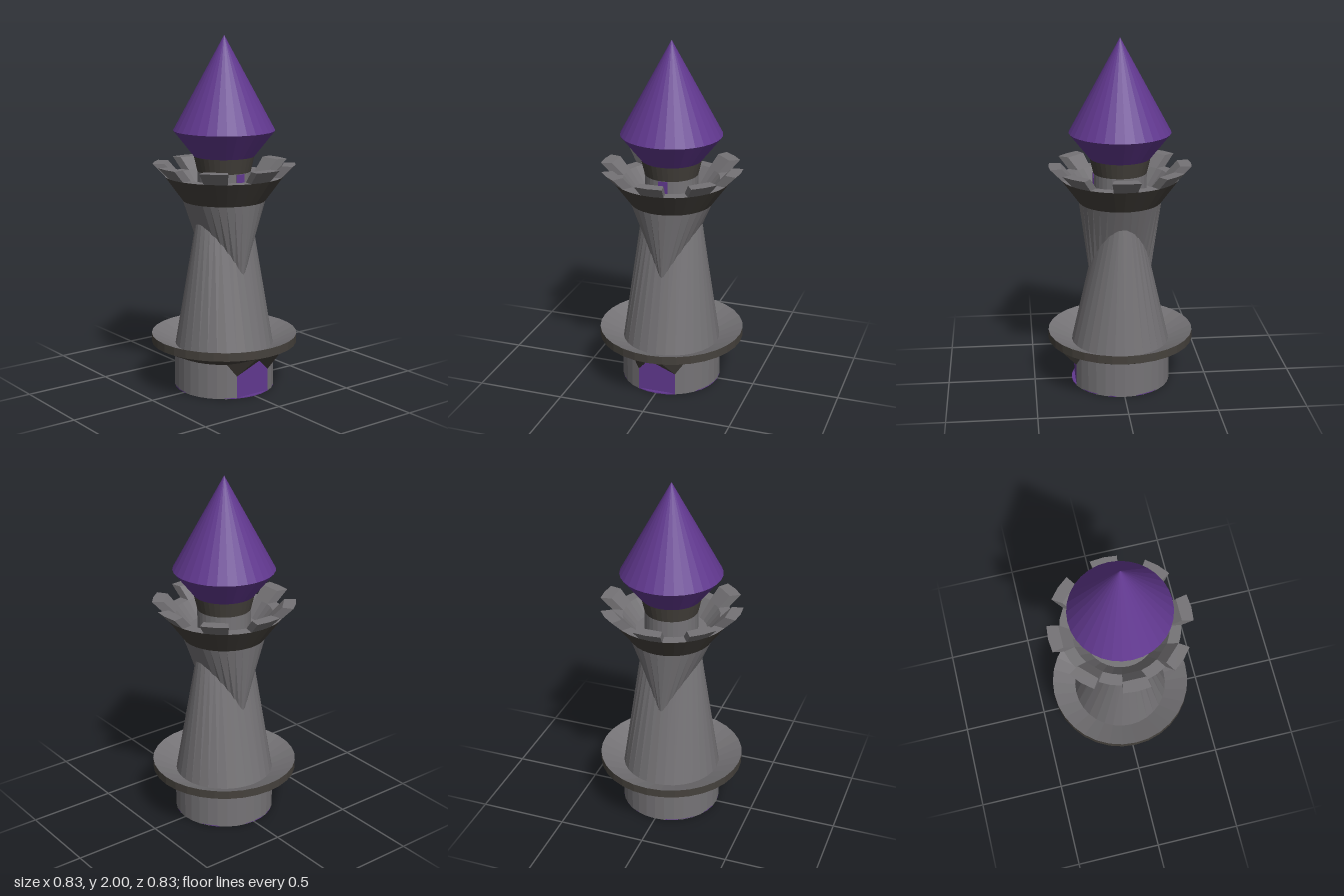
import * as THREE from 'three';
import { ConvexGeometry } from 'three/addons/geometries/ConvexGeometry.js';

const SIDES = 32;
const STEP = (Math.PI * 2) / SIDES;
const BASE_R = 0.285;

function material(name, color) {
  const m = new THREE.MeshStandardMaterial({ color });
  m.name = name;
  return m;
}

// Faceted copy of a geometry
function flat(geometry) {
  const g = geometry.index ? geometry.toNonIndexed() : geometry;
  g.computeVertexNormals();
  return g;
}

export function createModel() {
  const tower = new THREE.Group();
  tower.name = 'tower';
  const stone = material('grey stone', 0x757376);
  const dark = material('dark stone', 0x45413c);
  const purple = material('purple', 0x61388f);

  function add(name, geometry, mat, parent = tower) {
    const mesh = new THREE.Mesh(flat(geometry), mat);
    mesh.name = name;
    parent.add(mesh);
    return mesh;
  }

  // Turned part from [radius, height] points, listed counterclockwise
  function turned(name, points, mat, start = 0, segments = SIDES) {
    const profile = points.map(([r, y]) => new THREE.Vector2(r, y));
    return add(name, new THREE.LatheGeometry(profile, segments, start, segments * STEP), mat);
  }

  // Tapering tube with oval ends: [y, half width, half depth]
  function ovalTube(name, [y0, w0, d0], [y1, w1, d1], mat) {
    const g = new THREE.CylinderGeometry(1, 1, 1, SIDES, 1);
    const p = g.attributes.position;
    for (let i = 0; i < p.count; i++) {
      const t = p.getY(i) + 0.5;
      p.setXYZ(i,
        p.getX(i) * THREE.MathUtils.lerp(w0, w1, t),
        THREE.MathUtils.lerp(y0, y1, t),
        p.getZ(i) * THREE.MathUtils.lerp(d0, d1, t));
    }
    return add(name, g, mat);
  }

  // Round base, left open at the front for the doorway
  turned('baseWall', [[BASE_R, 0], [BASE_R, 0.21]], stone, 2 * STEP, SIDES - 4);
  const bottom = add('bottomPlate', new THREE.CylinderGeometry(BASE_R, BASE_R, 0.005, SIDES), purple);
  bottom.position.y = 0.0025;

  // Arched door set flat across the opening
  const doorX = BASE_R * Math.sin(2 * STEP);
  const doorZ = BASE_R * Math.cos(2 * STEP);
  const arch = new THREE.Shape([
    [-doorX, 0], [doorX, 0], [doorX, 0.13], [0.05, 0.19], [0.03, 0.205], [-0.03, 0.205], [-0.05, 0.19], [-doorX, 0.13],
  ].map(([x, y]) => new THREE.Vector2(x, y)));
  const door = add('door', new THREE.ShapeGeometry(arch), purple);
  door.position.z = doorZ;

  // Brackets reaching from the door corners to the ledge
  for (const s of [-1, 1]) {
    const corners = [
      [doorX, 0.13, doorZ], [0.05, 0.192, doorZ], [0.16, 0.2, 0.235],
      [0.04, 0.262, 0.408], [0.08, 0.262, 0.404], [0.06, 0.23, doorZ],
    ].map(([x, y, z]) => new THREE.Vector3(s * x, y, z));
    add(s > 0 ? 'leftBracket' : 'rightBracket', new ConvexGeometry(corners), dark);
  }

  // Dished ledge
  turned('ledge', [[BASE_R, 0.2], [0.416, 0.262], [0.416, 0.31]], dark);
  turned('ledgeTop', [[0.416, 0.31], [0.27, 0.243]], stone);

  // Shaft: two oval tapers that run through each other
  ovalTube('lowerShaft', [0.243, 0.281, 0.281], [0.96, 0.18, 0.116], stone);
  ovalTube('upperShaft', [0.68, 0.056, 0.18], [1.08, 0.233, 0.233], stone);

  // Gallery bowl
  turned('galleryUnderside', [[0.233, 1.08], [0.335, 1.22]], dark);
  turned('galleryInside', [[0.335, 1.22], [0.272, 1.22], [0.2, 1.13], [0, 1.13]], stone);

  // Battlements leaning outward around the gallery
  const battlements = new THREE.Group();
  battlements.name = 'battlements';
  tower.add(battlements);
  const section = [[0.335, 1.22], [0.4, 1.287], [0.336, 1.287], [0.272, 1.22]];
  const blockPoints = [];
  for (const a of [-STEP, 0, STEP]) {
    for (const [r, y] of section) blockPoints.push(new THREE.Vector3(r * Math.sin(a), y, r * Math.cos(a)));
  }
  for (let i = 0; i < 8; i++) {
    const block = add('battlement', new ConvexGeometry(blockPoints), stone, battlements);
    block.rotation.y = (i * Math.PI) / 4;
  }

  // Turret neck with a small door
  turned('turretWall', [[0.15, 1.13], [0.15, 1.245]], stone);
  turned('turretFlare', [[0.15, 1.245], [0.17, 1.33]], dark);
  const hatch = add('turretDoor', new THREE.BoxGeometry(0.052, 0.112, 0.008), purple);
  hatch.position.set(0, 1.187, 0.148);

  // Pointed roof
  turned('roof', [[0.17, 1.33], [BASE_R, 1.475], [0, 2]], purple);

  return tower;
}
